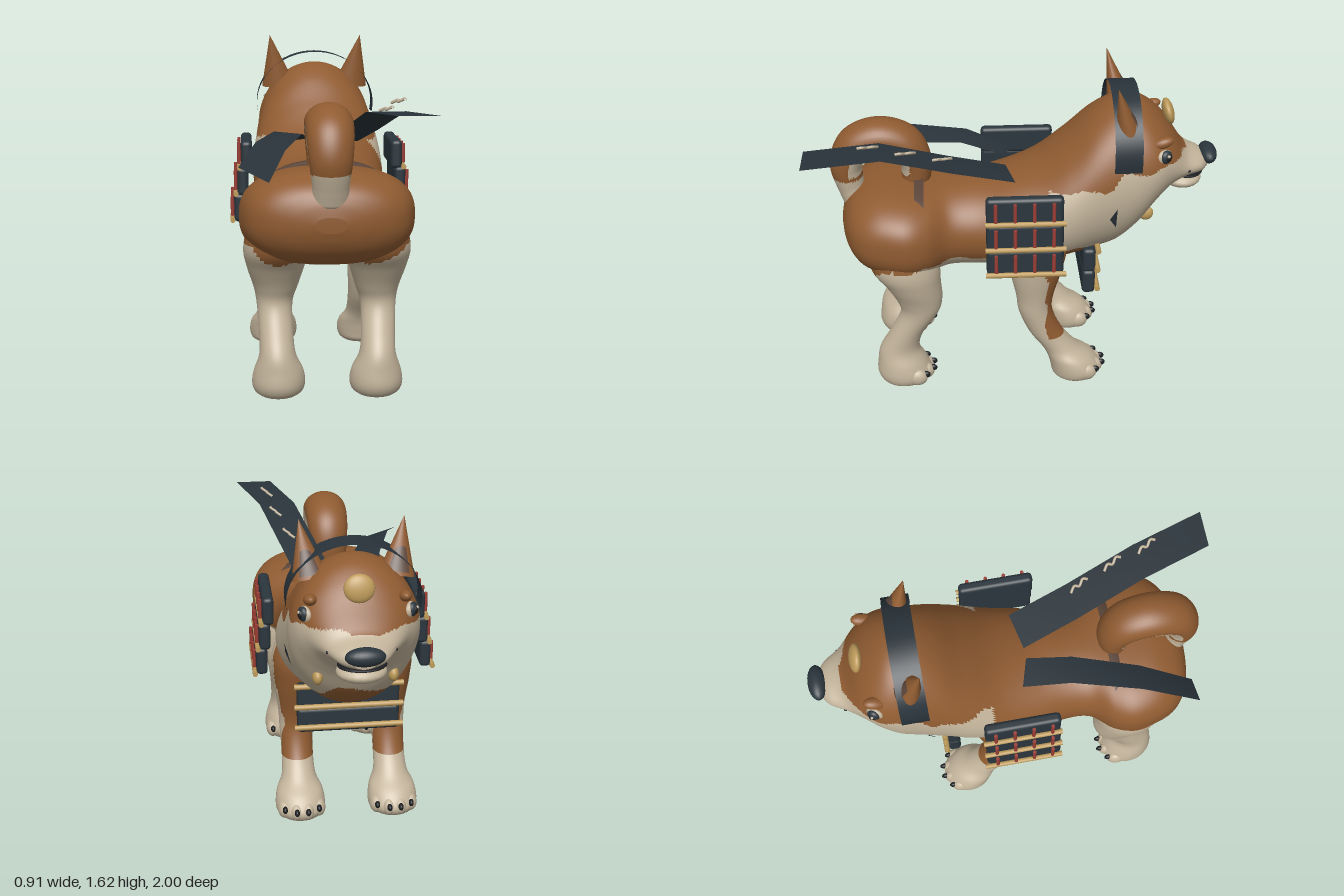
import * as THREE from 'three';
import { RoundedBoxGeometry } from 'three/addons/geometries/RoundedBoxGeometry.js';

const mat = (name, color, side = THREE.FrontSide) => {
  const m = new THREE.MeshStandardMaterial({ color, side });
  m.name = name;
  return m;
};
const V = (x, y, z) => new THREE.Vector3(x, y, z);

// Catmull-Rom interpolation of rows of numbers
function smooth(rows, steps) {
  const out = [], at = i => rows[Math.max(0, Math.min(rows.length - 1, i))];
  for (let i = 0; i < rows.length - 1; i++) for (let s = 0; s < steps; s++) {
    const t = s / steps;
    out.push(rows[i].map((_, k) => {
      const a = at(i - 1)[k], b = at(i)[k], c = at(i + 1)[k], d = at(i + 2)[k];
      return b + 0.5 * t * (c - a + t * (2 * a - 5 * b + 4 * c - d + t * (3 * (b - c) + d - a)));
    }));
  }
  out.push(rows[rows.length - 1]);
  return out;
}

// Closed skin over rings; point(row, angle) places a vertex
function loft(rows, sides, point) {
  const pos = [], idx = [], n = rows.length;
  for (const r of rows) for (let j = 0; j < sides; j++) pos.push(...point(r, j / sides * Math.PI * 2).toArray());
  for (const r of [rows[0], rows[n - 1]])
    pos.push(...point(r, 0).add(point(r, Math.PI)).multiplyScalar(0.5).toArray());
  for (let j = 0; j < sides; j++) {
    const k = (j + 1) % sides, e = (n - 1) * sides;
    for (let i = 0; i < n - 1; i++) {
      const a = i * sides + j, b = a + sides, c = i * sides + k, d = c + sides;
      idx.push(a, b, c, b, d, c);
    }
    idx.push(n * sides, j, k, n * sides + 1, e + k, e + j);
  }
  const g = new THREE.BufferGeometry();
  g.setAttribute('position', new THREE.Float32BufferAttribute(pos, 3));
  g.setIndex(idx);
  g.computeVertexNormals();
  return g;
}

// Sort triangles into two colour groups; isSecond(x, y, z) tests each centre
function paint(g, isSecond) {
  const p = g.attributes.position, ix = g.index.array, sets = [[], []];
  for (let i = 0; i < ix.length; i += 3) {
    const t = [ix[i], ix[i + 1], ix[i + 2]];
    const c = k => (p.array[t[0] * 3 + k] + p.array[t[1] * 3 + k] + p.array[t[2] * 3 + k]) / 3;
    sets[isSecond(c(0), c(1), c(2)) ? 1 : 0].push(...t);
  }
  g.setIndex([...sets[0], ...sets[1]]);
  g.addGroup(0, sets[0].length, 0);
  g.addGroup(sets[0].length, sets[1].length, 1);
  return g;
}

// Piecewise linear lookup in [x, value] pairs with falling x
function lookup(table, x) {
  if (x >= table[0][0]) return table[0][1];
  for (let i = 1; i < table.length; i++) if (x >= table[i][0]) {
    const [x0, a] = table[i - 1], [x1, b] = table[i];
    return a + (b - a) * (x - x0) / (x1 - x0);
  }
  return table[table.length - 1][1];
}

// Thin band along a path; across(i) is the half-width vector
function band(path, across) {
  const g = new THREE.PlaneGeometry(1, 1, 1, path.length - 1);
  path.forEach((p, i) => [-1, 1].forEach((s, k) => {
    const q = p.clone().addScaledVector(across(i), s);
    g.attributes.position.setXYZ(i * 2 + k, q.x, q.y, q.z);
  }));
  g.computeVertexNormals();
  return g;
}

export function createModel() {
  const brown = mat('brown fur', 0x8f5b31), cream = mat('cream fur', 0xc3b49b);
  const slate = mat('slate armour', 0x2b363d), cloth = mat('slate cloth', 0x29333a, THREE.DoubleSide);
  const gold = mat('gold', 0xbd9a5a), red = mat('red cord', 0x9c3e36);
  const strap = mat('leather strap', 0x5c463b), black = mat('black', 0x1b1d20);
  const fur = [brown, cream], root = new THREE.Group();
  root.name = 'armouredDog';
  const add = (name, geo, m, x = 0, y = 0, z = 0) => {
    const o = new THREE.Mesh(geo, m);
    o.name = name;
    o.position.set(x, y, z);
    root.add(o);
    return o;
  };
  const ball = (name, m, x, y, z, rx, ry, rz) => {
    const o = add(name, new THREE.SphereGeometry(1, 20, 14), m, x, y, z);
    o.scale.set(rx, ry, rz);
    return o;
  };
  const rod = (name, m, r, length, x, y, z, axis) => {
    const o = add(name, new THREE.CylinderGeometry(r, r, length, 10), m, x, y, z);
    if (axis) o.rotation[axis] = Math.PI / 2;
    return o;
  };

  // Haunches, body, neck and head: z, top, bottom, half width, squareness (1 = round)
  const body = smooth([
    [0.862, 0.89, 0.82, 0.07, 1], [0.845, 0.955, 0.765, 0.18, 0.95], [0.81, 1.01, 0.71, 0.28, 0.88],
    [0.75, 1.05, 0.66, 0.35, 0.83], [0.66, 1.075, 0.635, 0.39, 0.8], [0.54, 1.075, 0.62, 0.408, 0.8],
    [0.44, 1.065, 0.615, 0.375, 0.85], [0.34, 1.06, 0.61, 0.295, 0.95], [0.22, 1.065, 0.605, 0.285, 1],
    [0.08, 1.085, 0.61, 0.315, 1], [-0.1, 1.16, 0.62, 0.33, 1], [-0.25, 1.28, 0.64, 0.335, 1],
    [-0.38, 1.405, 0.67, 0.32, 1], [-0.5, 1.47, 0.71, 0.305, 1], [-0.6, 1.46, 0.81, 0.3, 1],
    [-0.68, 1.41, 0.93, 0.275, 1], [-0.75, 1.335, 1.01, 0.225, 1], [-0.83, 1.215, 1.06, 0.16, 1],
    [-0.91, 1.175, 1.075, 0.11, 1], [-0.95, 1.15, 1.09, 0.05, 1],
  ], 8);
  const power = (v, e) => Math.sign(v) * Math.abs(v) ** e;
  const bodyPoint = ([z, top, bot, w, e], a) =>
    V(w * power(Math.cos(a), e), (top + bot) / 2 + (top - bot) / 2 * power(Math.sin(a), e), z);
  const rowAt = z => body.reduce((a, b) => Math.abs(b[0] - z) < Math.abs(a[0] - z) ? b : a);
  const sideX = (y, z) => {
    const [, top, bot, w] = rowAt(z), k = (2 * y - top - bot) / (top - bot);
    return w * Math.sqrt(Math.max(0, 1 - k * k));
  };
  const step = THREE.MathUtils.smoothstep;
  const faceLine = [[-0.15, 1.1], [-0.45, 1.12], [-0.5, 1.19], [-0.7, 1.205], [-0.77, 1.225], [-0.84, 1.205], [-0.88, 1.4]];
  const chestLine = [[-0.15, 0.77], [-0.45, 0.75], [-0.6, 0.82], [-0.66, 0.88], [-0.7, 0.5]];
  const isCream = (x, y, z) => {
    const wave = 0.01 * Math.sin(z * 31 + x * 17);
    if (z > -0.15) {
      const drop = 0.09 * step(z, 0.55, 0.7) * (1 - step(Math.abs(x), 0.24, 0.42));
      return y < 0.735 + wave - drop;
    }
    return y < lookup(faceLine, z) + wave && y > lookup(chestLine, z) + wave;
  };
  add('body', paint(loft(body, 140, bodyPoint), isCream), fur);

  // Girth straps, sunk into the flanks
  const strapRows = (z0, z1, top, bot, w) => [z0, z0, z1, z1].map((z, i) => {
    const o = i % 3 ? 0.016 : -0.01;
    return [z, top + o, bot - o, w, 0.85];
  });
  add('girthStrap', loft(strapRows(0.5, 0.455, 1.075, 0.62, 0.34), 48, bodyPoint), strap);
  add('chestStrap', loft(strapRows(0.02, -0.03, 0.9, 0.615, 0.27), 48, bodyPoint), strap);

  // Legs: y, z, rx, rz, x
  const frontRows = smooth([
    [0.95, -0.1, 0.05, 0.08, 0.24], [0.8, -0.1, 0.105, 0.14, 0.245], [0.65, -0.09, 0.105, 0.13, 0.24],
    [0.5, -0.085, 0.09, 0.095, 0.235], [0.4, -0.09, 0.085, 0.085, 0.235], [0.28, -0.14, 0.08, 0.085, 0.235],
    [0.18, -0.215, 0.085, 0.09, 0.235], [0.12, -0.27, 0.115, 0.115, 0.235], [0.06, -0.3, 0.125, 0.13, 0.235],
    [0.02, -0.3, 0.115, 0.12, 0.235], [0, -0.3, 0.09, 0.09, 0.235]], 6);
  const hindRows = smooth([
    [0.85, 0.58, 0.13, 0.15, 0.23], [0.7, 0.56, 0.155, 0.17, 0.235], [0.6, 0.525, 0.135, 0.14, 0.24],
    [0.5, 0.495, 0.105, 0.115, 0.24], [0.42, 0.497, 0.085, 0.095, 0.245], [0.3, 0.565, 0.08, 0.085, 0.24],
    [0.2, 0.605, 0.085, 0.1, 0.235], [0.12, 0.595, 0.115, 0.125, 0.23], [0.06, 0.585, 0.125, 0.14, 0.23],
    [0.02, 0.585, 0.115, 0.125, 0.23], [0, 0.585, 0.09, 0.1, 0.23]], 6);

  for (const s of [1, -1]) {
    const legPoint = ([y, z, rx, rz, x], a) => V(s * x + rx * Math.cos(a), y, z - rz * Math.sin(a));
    const frontCream = (x, y, z) => y < 0.26 || z > -0.14 + 0.008 * Math.sin(y * 40);
    add('frontLeg', paint(loft(frontRows, 48, legPoint), frontCream), fur);
    add('hindLeg', paint(loft(hindRows, 48, legPoint), isCream), fur);

    // Toes and claws
    for (const z of [-0.385, 0.485]) for (let i = -1.5; i < 2; i++) {
      const back = Math.abs(i) > 1 ? 0.035 : 0;
      ball('toe', cream, s * 0.233 + i * 0.057, 0.055, z + back, 0.035, 0.047, 0.052);
      ball('claw', black, s * 0.233 + i * 0.057, 0.07, z + back - 0.045, 0.013, 0.018, 0.022);
    }

    // Ear leaning back, with a thin dark lining on its face
    const ear = add('ear', new THREE.ConeGeometry(0.085, 0.27, 24), brown, s * 0.218, 1.49, -0.497);
    ear.scale.z = 0.75;
    ear.rotation.set(0.25, 0, -s * 0.16);
    const lining = new THREE.ConeGeometry(0.085, 0.2, 12, 1, true, Math.PI * 0.8, Math.PI * 0.4);
    const inner = add('earLining', lining, strap, s * 0.216, 1.475, -0.506);
    inner.scale.z = 0.75;
    inner.rotation.copy(ear.rotation);

    // Eye, brow, whisker spot, neck bead and cheek mark
    const ex = sideX(1.26, -0.7);
    ball('eyeWhite', cream, s * (ex - 0.008), 1.255, -0.698, 0.024, 0.038, 0.043).rotation.y = s * 0.5;
    ball('iris', slate, s * (ex + 0.001), 1.26, -0.705, 0.022, 0.034, 0.032).rotation.y = s * 0.5;
    ball('pupil', black, s * (ex + 0.01), 1.26, -0.71, 0.015, 0.022, 0.02);
    ball('eyeGlint', cream, s * (ex + 0.02), 1.272, -0.715, 0.007, 0.008, 0.008);
    ball('brow', brown, s * (sideX(1.32, -0.69) + 0.005), 1.32, -0.69, 0.03, 0.027, 0.055).rotation.x = 0.3;
    ball('whiskerSpot', black, s * sideX(1.13, -0.84), 1.13, -0.84, 0.006, 0.007, 0.008);
    ball('neckBead', gold, s * (sideX(0.91, -0.63) + 0.005), 0.915, -0.635, 0.025, 0.037, 0.037);
    const mark = [[1.02, -0.475], [0.96, -0.44], [0.9, -0.475]].map(([y, z]) => V(s * (sideX(y, z) + 0.008), y, z));
    const markGeo = new THREE.BufferGeometry().setFromPoints(mark);
    markGeo.computeVertexNormals();
    add('cheekMark', markGeo, cloth);

    // Shoulder guard: three tiers with cords and rods
    [[0.37, 1.065], [0.388, 0.935], [0.405, 0.805]].forEach(([x, y]) => {
      add('shoulderPlate', new RoundedBoxGeometry(0.055, 0.14, 0.37, 3, 0.02), slate, s * x, y, -0.025);
      rod('shoulderRod', gold, 0.013, 0.385, s * (x + 0.035), y - 0.06, -0.028, 'x');
      for (let i = 0; i < 4; i++)
        rod('shoulderCord', red, 0.009, 0.095, s * (x + 0.037), y + 0.003, 0.115 - i * 0.092);
    });
  }

  // Muzzle and forehead details
  ball('nose', slate, 0, 1.152, -0.955, 0.09, 0.043, 0.045);
  ball('mouth', black, 0, 1.07, -0.85, 0.112, 0.014, 0.085);
  ball('lowerJaw', cream, 0, 1.03, -0.83, 0.115, 0.045, 0.1);
  ball('foreheadOrnament', gold, 0, 1.385, -0.745, 0.07, 0.065, 0.028).rotation.x = 0.25;

  // Head band arching over the skull
  const arch = [];
  for (let i = 0; i <= 32; i++) {
    const a = Math.PI * (-0.06 + 1.12 * i / 32);
    arch.push(V(0.31 * Math.cos(a), 1.26 + 0.27 * Math.sin(a), -0.52));
  }
  add('headBand', band(arch, () => V(0, 0, 0.066)), cloth);

  // Curled tail, cream inside and at the tip
  const tailCurve = new THREE.CatmullRomCurve3([V(0, 1.0, 0.5), V(0, 1.15, 0.49), V(0, 1.25, 0.54),
    V(0, 1.29, 0.66), V(0, 1.25, 0.78), V(0, 1.15, 0.83), V(0, 1.05, 0.82), V(0, 0.95, 0.79)]);
  const tailRows = Array.from({ length: 61 }, (_, i) => i / 60);
  const tail = loft(tailRows, 36, (t, a) => {
    const p = tailCurve.getPoint(t), n = V(1, 0, 0).cross(tailCurve.getTangent(t));
    const r = 0.75 + 0.25 * Math.sin(Math.PI * Math.min(1, t * 1.12));
    return p.add(V(0.11 * r * Math.cos(a), 0, 0)).addScaledVector(n, 0.09 * r * Math.sin(a));
  });
  add('tail', paint(tail, (x, y, z) => (y < 1.08 && z > 0.7) ||
    (y > 1.1 && Math.hypot(y - 1.13, z - 0.67) < 0.15)), fur);

  // Trailing ribbons on the back, bent in straight runs
  const longPath = [V(0.1, 1.115, 0.03), V(0.17, 1.21, 0.32), V(0.26, 1.335, 0.65), V(0.365, 1.355, 1)];
  const shortPath = [V(-0.12, 1.125, 0.03), V(-0.17, 1.19, 0.25), V(-0.26, 1.17, 0.57), V(-0.34, 1.08, 0.83)];
  add('longRibbon', band(longPath, i => V(0.092, 0, -0.02 * (1 - i / 3))), cloth);
  add('shortRibbon', band(shortPath, i => V(0.067, 0.01 - i * 0.015, 0.02 * (1 - i / 3))), cloth);

  // Small zigzag lacing standing on the long ribbon
  for (const [x, y, z] of [[0.225, 1.265, 0.36], [0.28, 1.33, 0.53], [0.315, 1.385, 0.7]]) {
    const pts = [-2, -1, 0, 1, 2].map(i =>
      V(x + i * 0.0125 + (i % 2 ? 0.008 : -0.008), y + (i % 2 ? 0.01 : 0) + i * 0.005, z + i * 0.0225));
    add('lacing', new THREE.TubeGeometry(new THREE.CatmullRomCurve3(pts), 20, 0.007, 6), cream);
  }

  // Chest guard: two tiers and three rods
  for (const y of [0.685, 0.56])
    add('chestPlate', new RoundedBoxGeometry(0.5, 0.13, 0.065, 3, 0.02), slate, 0, y, -0.355);
  for (const y of [0.75, 0.64, 0.53]) rod('chestRod', gold, 0.014, 0.53, 0, y, -0.397, 'z');

  return root;
}
